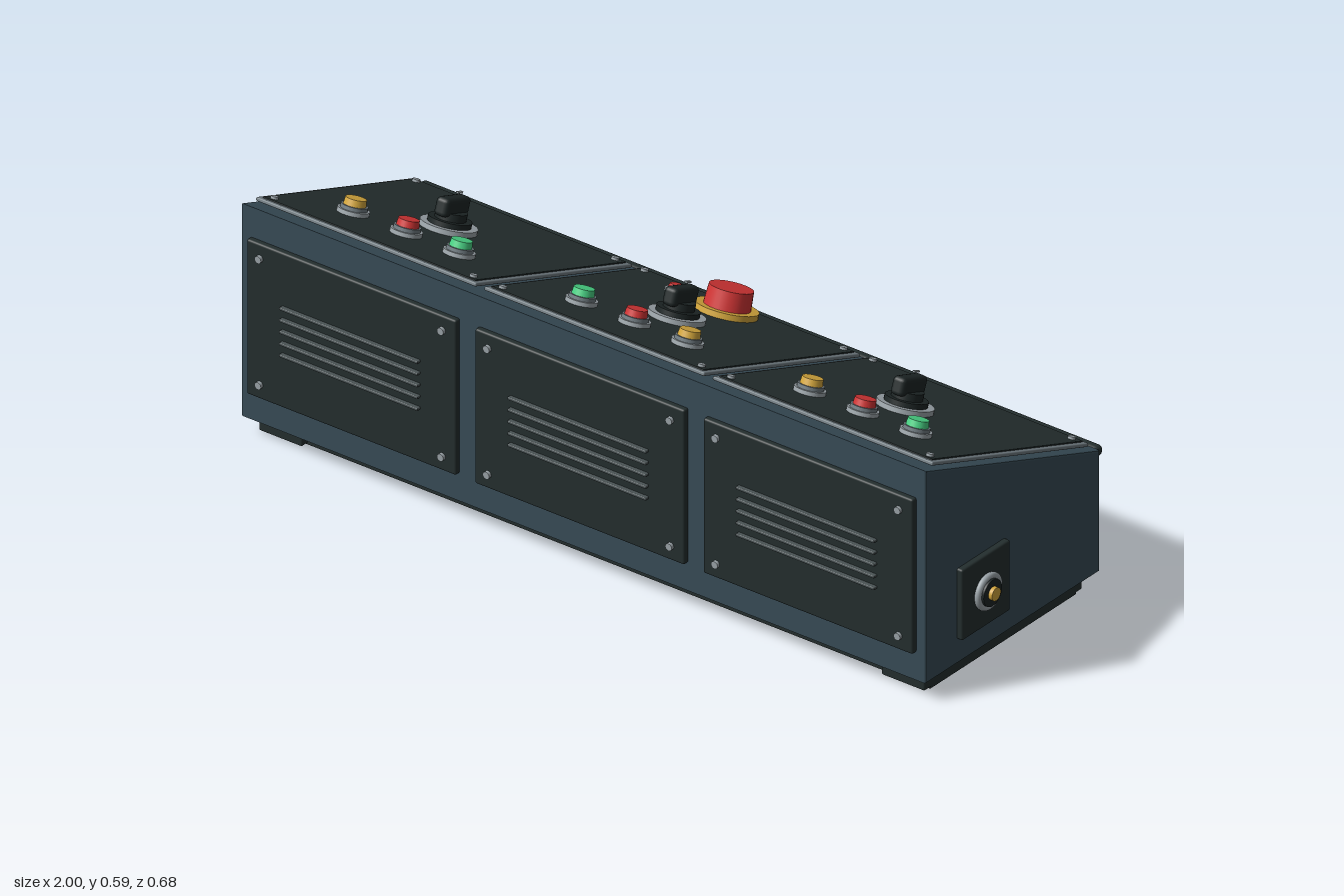
import * as THREE from 'three';
import { RoundedBoxGeometry } from 'three/addons/geometries/RoundedBoxGeometry.js';

const mat = (name, color) => new THREE.MeshStandardMaterial({ name, color });

export function createModel() {
  const M = {
    body: mat('slate blue housing', 0x384c57),
    dark: mat('charcoal panel', 0x242e2e),
    knob: mat('black knob', 0x1d2525),
    steel: mat('light steel', 0x9aa3a8),
    trim: mat('grey trim', 0x6f7a80),
    louver: mat('dark grey louver', 0x4a5355),
    red: mat('signal red', 0xcf3434),
    yellow: mat('signal yellow', 0xd2a53c),
    green: mat('signal green', 0x48d083),
  };
  const model = new THREE.Group();
  model.name = 'controlDesk';

  // helpers: every part is added at its centre
  const add = (parent, name, geo, m, x, y, z) => {
    const mesh = new THREE.Mesh(geo, m);
    mesh.name = name;
    mesh.position.set(x, y, z);
    parent.add(mesh);
    return mesh;
  };
  const box = (p, name, m, w, h, d, x, y, z, r = 0) =>
    add(p, name, r ? new RoundedBoxGeometry(w, h, d, 2, r) : new THREE.BoxGeometry(w, h, d), m, x, y, z);
  // upright cylinder from y0 to y1
  const cyl = (p, name, m, r, y0, y1, x, z, rTop = r) =>
    add(p, name, new THREE.CylinderGeometry(rTop, r, y1 - y0, 32), m, x, (y0 + y1) / 2, z);
  // four screw heads at the corners of a panel facing local +y
  const screws = (p, dx, dz, y0, y1) => {
    for (const sx of [-1, 1]) for (const sz of [-1, 1])
      cyl(p, 'screw', M.steel, 0.009, y0, y1, sx * dx, sz * dz);
  };
  const group = (name, x, y, z, rx = 0, rz = 0) => {
    const g = new THREE.Group();
    g.name = name;
    g.position.set(x, y, z);
    g.rotation.set(rx, 0, rz);
    model.add(g);
    return g;
  };

  // housing with a sloping top, extruded along x
  const bevel = 0.005, width = 1.914;
  const profile = new THREE.Shape();
  profile.moveTo(-0.311, 0.047);
  profile.lineTo(0.315, 0.047);
  profile.lineTo(0.315, 0.59);
  profile.lineTo(-0.311, 0.355);
  profile.closePath();
  const shell = new THREE.ExtrudeGeometry(profile, {
    depth: width - 2 * bevel, bevelThickness: bevel, bevelSize: bevel, bevelOffset: -bevel, bevelSegments: 2,
  });
  shell.translate(0, 0, -(width / 2 - bevel));
  shell.rotateY(-Math.PI / 2);
  add(model, 'housing', shell, M.body, 0, 0, 0);

  // plinth, end feet and rear rail
  box(model, 'plinth', M.dark, 1.86, 0.05, 0.527, 0, 0.025, 0.001, 0.004);
  for (const s of [-1, 1]) box(model, 'foot', M.dark, 0.12, 0.026, 0.568, s * 0.87, 0.018, 0.002, 0.004);
  box(model, 'rearRail', M.dark, 1.9, 0.027, 0.03, 0, 0.344, -0.32, 0.012);

  const slope = -Math.atan2(0.235, 0.626);
  const bays = [
    { x: -0.638, lamps: ['yellow', 'red', 'green'] },
    { x: 0, lamps: ['green', 'red', 'yellow'] },
    { x: 0.638, lamps: ['yellow', 'red', 'green'] },
  ];
  for (const bay of bays) {
    // sloping control panel; local y points out of the panel
    const top = group('controlPanel', bay.x, 0.472, 0, slope);
    box(top, 'panelTrim', M.trim, 0.615, 0.009, 0.6, 0, 0.0105, 0, 0.003);
    box(top, 'panelFace', M.dark, 0.593, 0.005, 0.578, 0, 0.0155, 0);
    screws(top, 0.278, 0.272, 0.016, 0.024);

    // push buttons
    bay.lamps.forEach((colour, i) => {
      const x = (i - 1) * 0.148;
      cyl(top, 'buttonFlange', M.steel, 0.037, 0.017, 0.028, x, 0.149);
      cyl(top, 'buttonCollar', M.trim, 0.031, 0.028, 0.037, x, 0.149);
      cyl(top, 'buttonCap', M[colour], 0.026, 0.037, 0.053, x, 0.149, 0.024);
    });

    // rotary selector
    const w = -0.013;
    cyl(top, 'selectorRing', M.steel, 0.066, 0.017, 0.03, 0, w);
    cyl(top, 'selectorDisc', M.knob, 0.05, 0.03, 0.042, 0, w);
    cyl(top, 'selectorNeck', M.knob, 0.036, 0.042, 0.06, 0, w);
    box(top, 'selectorGrip', M.knob, 0.036, 0.044, 0.094, 0, 0.072, w + 0.003, 0.011);
    box(top, 'selectorMark', M.steel, 0.007, 0.004, 0.018, 0, 0.102, w - 0.013);

    // front vent panel; local y points forward, local z points down
    const vent = group('ventPanel', bay.x, 0.316, 0.314, Math.PI / 2);
    box(vent, 'ventPlate', M.dark, 0.585, 0.018, 0.395, 0, 0.007, 0, 0.005);
    screws(vent, 0.255, 0.161, 0.014, 0.024);
    for (let i = -2; i <= 2; i++)
      box(vent, 'louver', M.louver, 0.387, 0.014, 0.007, 0, 0.02, i * 0.03, 0.002);

    // rear door; local y points backward, local z points up
    const door = group('rearDoor', bay.x, 0.191, -0.311, -Math.PI / 2);
    box(door, 'doorPlate', M.dark, 0.585, 0.019, 0.223, 0, 0.0065, 0, 0.005);
    screws(door, 0.255, 0.087, 0.014, 0.023);
    box(door, 'latchPlate', M.knob, 0.04, 0.012, 0.08, 0.205, 0.018, 0.015, 0.004);
    box(door, 'latch', M.steel, 0.022, 0.004, 0.032, 0.205, 0.029, 0.028);
  }

  // emergency stop and its warning lamp on the middle panel
  const mid = group('emergencyControls', 0, 0.472, 0, slope);
  cyl(mid, 'stopBase', M.yellow, 0.073, 0.017, 0.032, 0, -0.203);
  cyl(mid, 'stopButton', M.red, 0.054, 0.032, 0.077, 0, -0.203, 0.051);
  cyl(mid, 'lampRing', M.steel, 0.024, 0.017, 0.025, -0.146, -0.208);
  cyl(mid, 'lampCap', M.red, 0.018, 0.025, 0.036, -0.146, -0.208, 0.015);

  // side connectors; local y points outward
  for (const s of [-1, 1]) {
    const side = group('sideConnector', s * 0.957, 0.2, 0.117, 0, -s * Math.PI / 2);
    box(side, 'connectorPlate', M.dark, 0.18, 0.022, 0.173, 0, 0.004, 0, 0.005);
    const ring = add(side, 'connectorRing', new THREE.TorusGeometry(0.038, 0.008, 12, 40), M.steel, 0, 0.021, 0);
    ring.rotation.x = Math.PI / 2;
    cyl(side, 'connectorSocket', M.knob, 0.033, 0.014, 0.033, 0, 0);
    cyl(side, 'connectorCore', M.yellow, 0.016, 0.03, 0.043, 0, 0);
  }
  return model;
}
